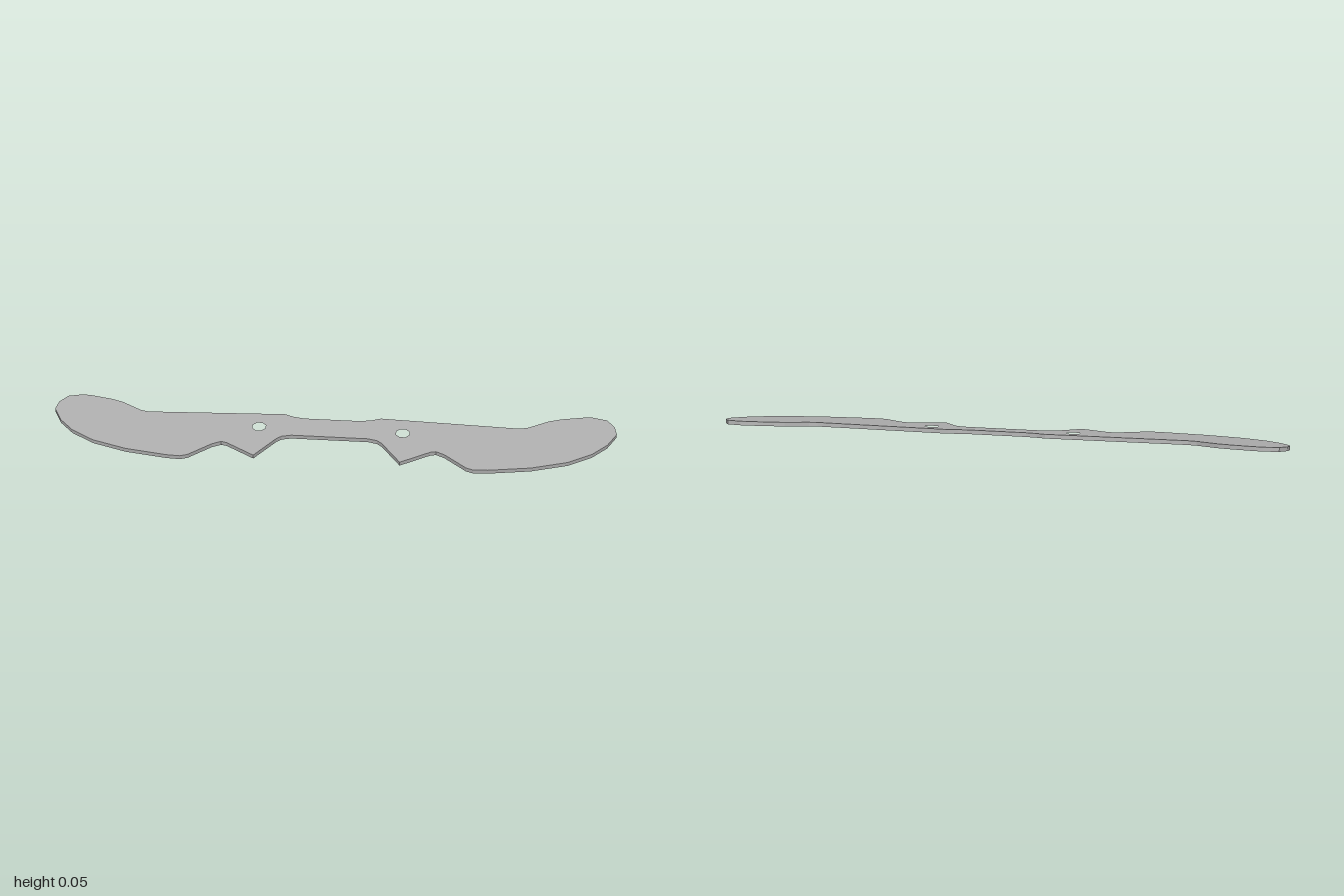
import * as THREE from 'three';

const TILT = 0.107;       // the plate leans down towards the front
const THICKNESS = 0.0145;

// Half outline as seen from above [x, z], from back centre round to front centre
const HALF = [
  [0.10, -0.084], [0.14, -0.092], [0.172, -0.105], [0.21, -0.103],
  [0.66, -0.083], [0.69, -0.09], [0.765, -0.135], [0.81, -0.151],
  [0.89, -0.168], [0.92, -0.17], [0.97, -0.157], [0.995, -0.118],
  [1.0, -0.075], [0.965, -0.01], [0.91, 0.048], [0.825, 0.101],
  [0.70, 0.142], [0.555, 0.166], [0.505, 0.169], [0.48, 0.159],
  [0.405, 0.091], [0.375, 0.075], [0.355, 0.08], [0.253, 0.145],
  [0.185, 0.043], [0.168, 0.028], [0.135, 0.019],
];

export function createModel() {
  const group = new THREE.Group();
  group.name = 'wingPlate';
  const grey = new THREE.MeshStandardMaterial({ color: 0xb0b0b0 });
  grey.name = 'plate grey';

  // Mirrored outline, stretched slightly so its tilted footprint keeps its depth
  const stretch = 1 / Math.cos(TILT);
  const point = (x, z) => new THREE.Vector2(x, -z * stretch);
  const right = HALF.map(([x, z]) => point(x, z));
  const left = HALF.map(([x, z]) => point(-x, z)).reverse();
  const shape = new THREE.Shape([...right, ...left]);

  // Two small eight-sided mounting holes
  for (const side of [-1, 1]) {
    const ring = [];
    for (let i = 0; i < 8; i++) {
      const a = (i + 0.5) * Math.PI / 4;
      ring.push(point(side * 0.254 + 0.025 * Math.cos(a), -0.023 + 0.025 * Math.sin(a)));
    }
    shape.holes.push(new THREE.Path(ring));
  }

  // Lay the extruded plate flat, then tilt it
  const geometry = new THREE.ExtrudeGeometry(shape, { depth: THICKNESS, bevelEnabled: false });
  geometry.translate(0, 0, -THICKNESS / 2);
  geometry.rotateX(-Math.PI / 2 + TILT);
  geometry.translate(0, 0.0255, 0);

  const plate = new THREE.Mesh(geometry, grey);
  plate.name = 'plate';
  group.add(plate);
  return group;
}
